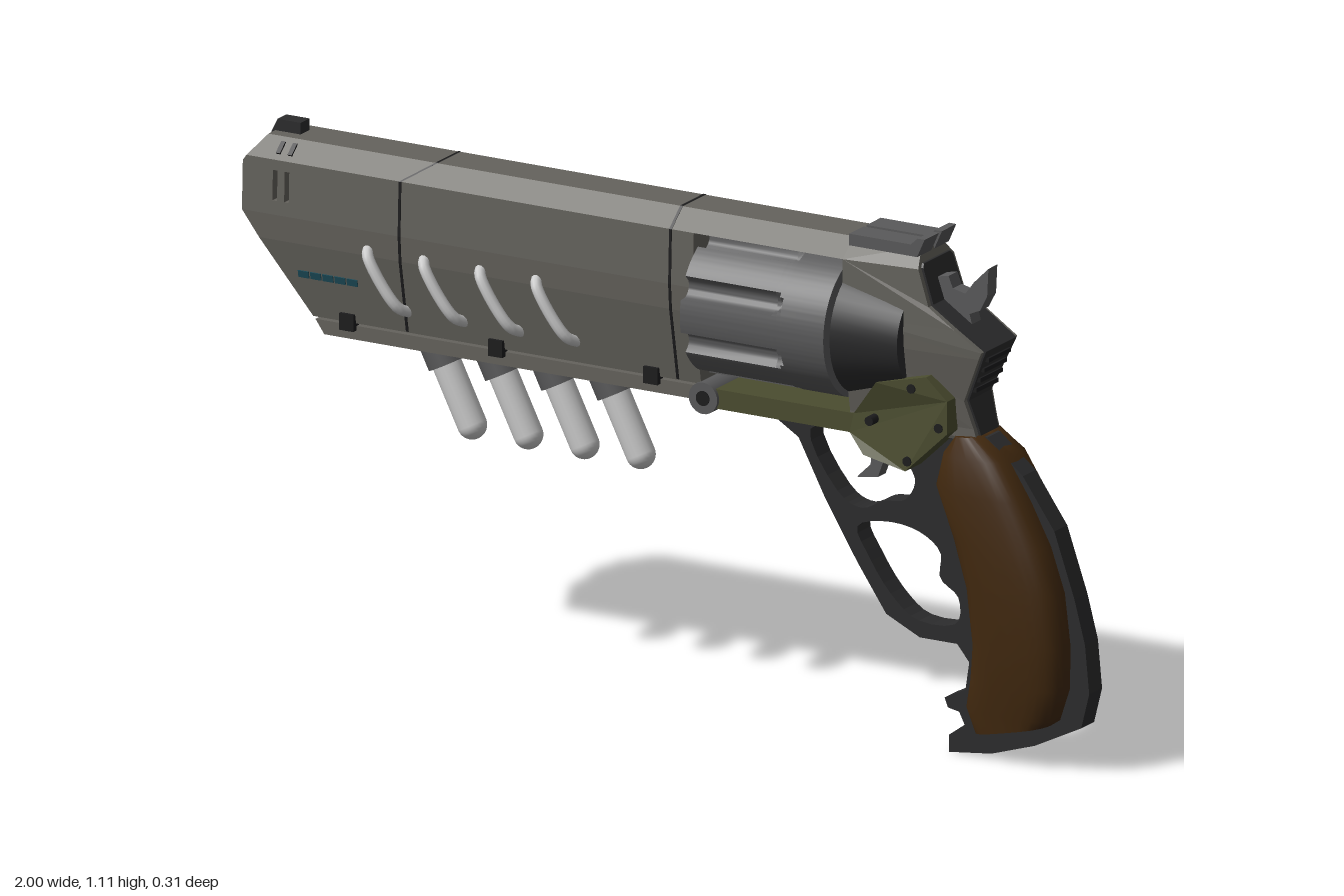
import * as THREE from 'three';
import { toCreasedNormals } from 'three/addons/utils/BufferGeometryUtils.js';

const mat = (color, extra = {}) => new THREE.MeshStandardMaterial({ color, ...extra });
const STEEL = mat(0x65635d), GREY = mat(0x5a5a5b), DARK = mat(0x2c2c2d), EDGE = mat(0x1c1c1d);
const GREEN = mat(0x4b4d30), WOOD = mat(0x42290f), LIGHT = mat(0xcccccc), TEAL = mat(0x1c4b58);

// Half width of the barrel shroud and frame at each height
const SECTION = [[0.6, 0.058], [0.71, 0.06], [0.87, 0.09], [0.925, 0.094], [1.042, 0.09], [1.081, 0.045]];
function bodyWidth(x, y) {
  for (let i = 1; i < SECTION.length; i++) {
    const [y0, w0] = SECTION[i - 1], [y1, w1] = SECTION[i];
    if (y <= y1) return w0 + (w1 - w0) * Math.max(0, (y - y0) / (y1 - y0));
  }
  return 0.045;
}

export function createModel() {
  const model = new THREE.Group();

  function add(name, geometry, material, x = 0, y = 0, z = 0, parent = model) {
    const mesh = new THREE.Mesh(geometry, material);
    mesh.name = name;
    mesh.position.set(x, y, z);
    parent.add(mesh);
    return mesh;
  }
  const box = (name, m, x, y, z, sx, sy, sz) => add(name, new THREE.BoxGeometry(sx, sy, sz), m, x, y, z);
  const toV2 = (pts) => pts.map(([x, y]) => new THREE.Vector2(x, y));

  // Side outline extruded across z; the half width may vary with x and y
  function plate(name, pts, width, material, holes = [], z = 0) {
    const shape = new THREE.Shape(toV2(pts));
    holes.forEach((h) => shape.holes.push(new THREE.Path(toV2(h))));
    const geo = new THREE.ExtrudeGeometry(shape, { depth: 1, bevelEnabled: false });
    const p = geo.attributes.position;
    for (let i = 0; i < p.count; i++) {
      const w = typeof width === 'number' ? width : width(p.getX(i), p.getY(i));
      p.setZ(i, (p.getZ(i) * 2 - 1) * w);
    }
    geo.computeVertexNormals();
    return add(name, geo, material, 0, 0, z);
  }

  // Keep the part of an outline above (s = 1) or below (s = -1) a height
  function clip(pts, h, s) {
    const out = [];
    pts.forEach((a, i) => {
      const b = pts[(i + 1) % pts.length], da = (a[1] - h) * s, db = (b[1] - h) * s;
      if (da >= 0) out.push(a);
      if (da * db < 0) out.push([a[0] + (b[0] - a[0]) * da / (da - db), h]);
    });
    return out;
  }

  // Plate cut into horizontal bands so that its sides follow the faceted section
  function faceted(name, pts, width, material, holes = []) {
    for (let i = 1; i < SECTION.length; i++) {
      const lo = SECTION[i - 1][0], hi = SECTION[i][0];
      const band = clip(clip(pts, lo, 1), hi, -1);
      if (band.length < 3 || Math.max(...band.map((q) => q[1])) - lo < 1e-4) continue;
      plate(name, band, width, material, holes.filter((h) => h[0][1] > lo && h[0][1] < hi));
    }
  }
  const smoothLoop = (pts) => new THREE.CatmullRomCurve3(
    pts.map(([x, y]) => new THREE.Vector3(x, y, 0)), true).getPoints(36).slice(0, -1).map((v) => [v.x, v.y]);

  // Barrel shroud with two slots cut through near the muzzle
  const slot = (x) => [[x, 0.955], [x + 0.011, 0.955], [x + 0.011, 1.02], [x, 1.02]];
  faceted('barrelShroud', [[0.095, 0.71], [-0.83, 0.71], [-0.98, 0.925], [-0.98, 1.03], [-0.945, 1.08],
    [0.095, 1.08]], bodyWidth, STEEL, [slot(-0.908), slot(-0.88)]);
  faceted('topStrap', [[0.095, 1.042], [0.45, 1.042], [0.45, 1.08], [0.095, 1.08]], bodyWidth, STEEL);
  plate('underRail', [[-0.826, 0.704], [-0.805, 0.674], [0.1, 0.674], [0.1, 0.704]], 0.058, STEEL);
  box('railSpacer', DARK, -0.78, 0.706, 0, 0.06, 0.012, 0.08);

  // Panel seams
  const proud = (x, y) => bodyWidth(x, y) + 0.0015;
  faceted('frontSeam', [[-0.608, 0.712], [-0.602, 0.712], [-0.602, 1.042], [-0.54, 1.081], [-0.546, 1.081],
    [-0.608, 1.042]], proud, EDGE);
  faceted('rearSeam', [[0.037, 0.712], [0.043, 0.712], [0.043, 1.081], [0.037, 1.081]], proud, EDGE);

  // Muzzle ring, front sight and sensor knob
  const ring = new THREE.LatheGeometry(toV2([[0.026, -0.03], [0.026, 0.02], [0.044, 0.02], [0.05, 0.014], [0.05, -0.03]]), 32);
  add('muzzle', toCreasedNormals(ring, 0.5), GREY, -0.98, 0.985, 0).rotation.z = Math.PI / 2;
  add('bore', new THREE.CircleGeometry(0.028, 24), EDGE, -0.982, 0.985, 0).rotation.y = -Math.PI / 2;
  plate('frontSight', [[-0.955, 1.075], [-0.94, 1.105], [-0.885, 1.105], [-0.885, 1.075]], 0.018, DARK);
  const knob = add('sensorKnob', new THREE.CylinderGeometry(0.02, 0.02, 0.03, 16), DARK, -0.912, 0.817, 0);
  knob.rotation.z = Math.PI / 2;

  for (const s of [1, -1]) {
    // Clips, teal lights and chamfer slots on each side
    for (const x of [-0.745, -0.39, -0.02]) box('clip', EDGE, x, 0.712, s * 0.06, 0.034, 0.036, 0.022);
    for (let i = 0; i < 5; i++) {
      const light = box('light', TEAL, -0.842 + i * 0.029, 0.803, s * 0.077, 0.025, 0.015, 0.006);
      light.rotation.x = s * 0.185;
    }
    for (const x of [-0.902, -0.874]) {
      box('chamferSlot', EDGE, x, 1.062, s * 0.068, 0.01, 0.006, 0.03).rotation.x = s * 0.71;
    }
    // Curved feed tubes
    for (let i = 0; i < 4; i++) {
      const x = -0.685 + i * 0.134;
      const path = new THREE.CatmullRomCurve3([[0, 0.885, 0.08], [0.008, 0.875, 0.1], [0.045, 0.815, 0.103],
        [0.075, 0.77, 0.09], [0.085, 0.755, 0.06]].map(([dx, y, z]) => new THREE.Vector3(x + dx, y, s * z)));
      add('feedTube', new THREE.TubeGeometry(path, 20, 0.012, 10), LIGHT);
    }
  }

  // Canisters hanging below the rail
  for (let i = 0; i < 4; i++) {
    const canister = new THREE.Group();
    canister.name = 'canister';
    canister.position.set(-0.562 + i * 0.134, 0.667, 0);
    canister.rotation.z = 0.46;
    add('capsule', new THREE.CapsuleGeometry(0.031, 0.14, 8, 20), LIGHT, 0, -0.1, 0, canister);
    add('collar', new THREE.CylinderGeometry(0.04, 0.04, 0.045, 20), GREY, 0, -0.012, 0, canister);
    model.add(canister);
  }

  // Fluted cylinder: the flutes narrow and stop before the rear band
  const R = 0.155, CY = 0.88;
  function flutedDisc(rf) {
    const pts = [];
    for (let i = 0; i < 192; i++) {
      const a = i / 192 * Math.PI * 2;
      const step = Math.PI / 4, d = (a % step) - step / 2, q = rf * rf - (R * Math.sin(d)) ** 2;
      const r = q > 0 ? R * Math.cos(d) - Math.sqrt(q) : R;
      pts.push([r * Math.cos(a), r * Math.sin(a)]);
    }
    return new THREE.Shape(toV2(pts));
  }
  for (const [x0, x1, rf] of [[0.1, 0.315, 0.025], [0.315, 0.328, 0.021], [0.328, 0.337, 0.013], [0.337, 0.442, 0]]) {
    const geo = toCreasedNormals(new THREE.ExtrudeGeometry(flutedDisc(rf), { depth: x1 - x0, bevelEnabled: false }), 0.5);
    add('cylinder', geo, GREY, x0, CY, 0).rotation.y = Math.PI / 2;
  }
  for (let i = 0; i < 8; i++) {
    const a = i * Math.PI / 4;
    add('chamber', new THREE.CircleGeometry(0.03, 20), EDGE, 0.099, CY + 0.105 * Math.sin(a), 0.105 * Math.cos(a))
      .rotation.y = -Math.PI / 2;
  }
  const axle = add('cylinderAxle', new THREE.CylinderGeometry(0.025, 0.025, 0.4, 20), DARK, 0.27, CY, 0);
  axle.rotation.z = Math.PI / 2;
  const shield = add('recoilShield', toCreasedNormals(new THREE.CylinderGeometry(0.145, 0.11, 0.14, 40), 0.5), DARK, 0.521, CY, 0);
  shield.rotation.z = Math.PI / 2;

  // Rear frame with a dark ribbed back panel
  const frameWidth = (x, y) => bodyWidth(x, y) * (x > 0.6 ? 0.8 : 1);
  faceted('rearFrame', [[0.45, 1.08], [0.607, 1.08], [0.645, 0.965], [0.77, 0.885], [0.72, 0.77], [0.745, 0.685],
    [0.6, 0.68], [0.45, 0.7]], frameWidth, STEEL);
  faceted('backPanel', [[0.6, 1.05], [0.622, 1.05], [0.65, 0.968], [0.775, 0.886], [0.725, 0.77], [0.748, 0.695],
    [0.7, 0.695], [0.7, 0.77], [0.73, 0.87], [0.62, 0.95]], (x, y) => frameWidth(0.7, y) - 0.012, DARK);
  for (let i = 0; i < 4; i++) {
    const t = 0.2 + i * 0.2;
    box('backRib', EDGE, 0.775 - 0.05 * t, 0.886 - 0.116 * t, 0, 0.014, 0.009, 0.09);
  }

  // Rear sight in two halves with a notch between, and hammer
  for (const s of [1, -1]) {
    plate('rearSight', [[0.45, 1.065], [0.45, 1.09], [0.597, 1.09], [0.613, 1.105], [0.63, 1.105], [0.612, 1.065]],
      0.029, GREY, [], s * 0.035);
  }
  plate('hammer', [[0.61, 0.9], [0.635, 1.015], [0.66, 1.02], [0.67, 0.995], [0.7, 0.988], [0.72, 1.015],
    [0.755, 1.05], [0.752, 0.99], [0.735, 0.957], [0.71, 0.946], [0.725, 0.89]], 0.018, GREY);

  // Green crane arm and side plates with bolts
  plate('sidePlate', [[0.12, 0.705], [0.46, 0.705], [0.53, 0.79], [0.65, 0.82], [0.7, 0.775], [0.7, 0.705],
    [0.6, 0.61], [0.5, 0.63], [0.45, 0.663], [0.12, 0.663]], (x) => (x < 0.47 ? 0.062 : 0.092), GREEN);
  const boltPoints = [[0.615, 0.79], [0.68, 0.715], [0.515, 0.705], [0.605, 0.632]];
  for (const [x, y] of boltPoints) {
    add('bolt', new THREE.CylinderGeometry(0.01, 0.01, 0.19, 12), EDGE, x, y, 0).rotation.x = Math.PI / 2;
  }
  add('hingePin', new THREE.CylinderGeometry(0.034, 0.034, 0.14, 24), GREY, 0.105, 0.683, 0).rotation.x = Math.PI / 2;
  add('hingeCore', new THREE.CylinderGeometry(0.016, 0.016, 0.144, 16), EDGE, 0.105, 0.683, 0).rotation.x = Math.PI / 2;

  // Guard, grip spine and finger hooks in one dark plate
  const triggerHole = smoothLoop([[0.335, 0.642], [0.47, 0.657], [0.55, 0.62], [0.585, 0.57], [0.56, 0.525],
    [0.51, 0.515], [0.46, 0.492], [0.41, 0.51]]);
  const fingerHole = smoothLoop([[0.447, 0.45], [0.52, 0.472], [0.6, 0.46], [0.645, 0.425], [0.645, 0.37],
    [0.688, 0.335], [0.685, 0.28], [0.59, 0.272], [0.53, 0.315], [0.475, 0.39]]);
  plate('gripSpine', [[0.135, 0.69], [0.135, 0.663], [0.25, 0.655], [0.307, 0.62], [0.37, 0.5], [0.447, 0.374],
    [0.516, 0.273], [0.596, 0.235], [0.685, 0.235], [0.714, 0.2], [0.705, 0.14], [0.655, 0.115], [0.663, 0.095],
    [0.69, 0.09], [0.703, 0.064], [0.666, 0.037], [0.666, 0], [0.767, 0.012], [0.87, 0.045], [0.981, 0.1], [1, 0.176],
    [0.99, 0.28], [0.965, 0.374], [0.917, 0.513], [0.842, 0.62], [0.757, 0.69], [0.6, 0.706], [0.45, 0.69]],
  0.026, DARK, [triggerHole, fingerHole]);
  plate('trigger', [[0.46, 0.67], [0.505, 0.67], [0.505, 0.6], [0.49, 0.56], [0.44, 0.553], [0.473, 0.585],
    [0.476, 0.63]], 0.016, GREY);

  // Wooden grip: rounded sections from top to bottom (front x, y, back x, y, half width)
  const stations = [[0.69, 0.69, 0.745, 0.695, 0.06], [0.66, 0.65, 0.81, 0.65, 0.074], [0.642, 0.58, 0.862, 0.57, 0.08],
    [0.685, 0.475, 0.91, 0.48, 0.086], [0.717, 0.37, 0.943, 0.385, 0.088], [0.73, 0.25, 0.957, 0.27, 0.085],
    [0.722, 0.17, 0.955, 0.18, 0.078], [0.71, 0.11, 0.932, 0.11, 0.07], [0.732, 0.055, 0.91, 0.095, 0.066]];
  const N = 32, pos = [], idx = [];
  const power = (v) => Math.sign(v) * Math.abs(v) ** 0.6;
  for (const [fx, fy, bx, by, w] of stations) {
    for (let i = 0; i < N; i++) {
      const a = i / N * Math.PI * 2, t = 0.5 + 0.5 * power(Math.cos(a));
      pos.push(fx + (bx - fx) * t, fy + (by - fy) * t, w * power(Math.sin(a)));
    }
  }
  const last = (stations.length - 1) * N;
  for (let j = 0; j < last; j += N) {
    for (let i = 0; i < N; i++) {
      const a = j + i, b = j + (i + 1) % N;
      idx.push(a, b, a + N, b, b + N, a + N);
    }
  }
  for (let i = 1; i < N - 1; i++) idx.push(0, i + 1, i, last, last + i, last + i + 1);
  const grip = new THREE.BufferGeometry();
  grip.setAttribute('position', new THREE.Float32BufferAttribute(pos, 3));
  grip.setIndex(idx);
  add('grip', toCreasedNormals(grip, 0.8), mat(WOOD.color, { side: THREE.DoubleSide }));

  return model;
}
